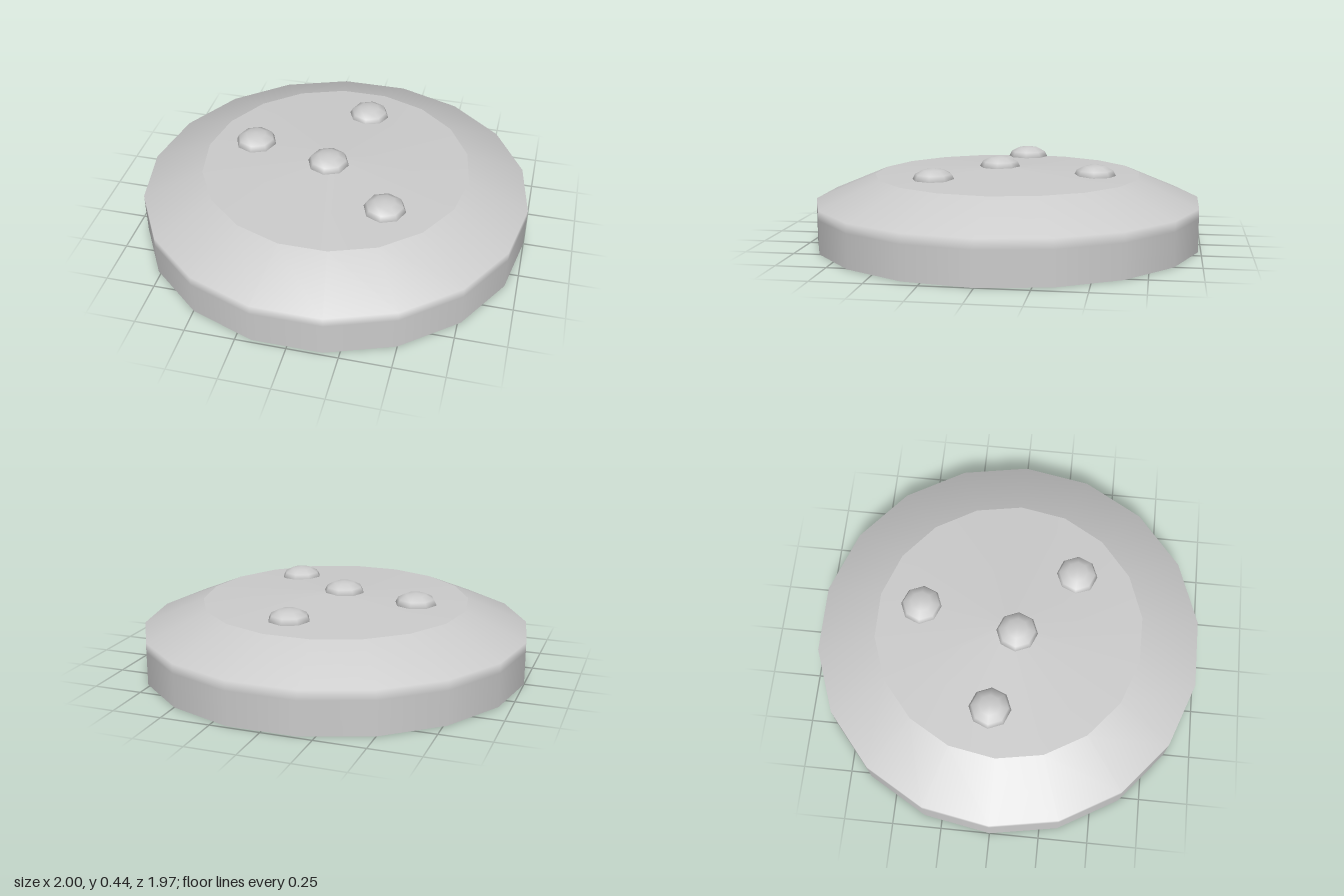
import * as THREE from 'three';

const SIDES = 18;
const material = new THREE.MeshStandardMaterial({ color: 0xcccccc });
const thinMaterial = new THREE.MeshStandardMaterial({ color: 0xcccccc, side: THREE.DoubleSide });

export function createModel() {
  const model = new THREE.Group();
  model.name = 'studdedDisc';

  const add = (name, geometry, mat = material) => {
    const mesh = new THREE.Mesh(geometry, mat);
    mesh.name = name;
    model.add(mesh);
    return mesh;
  };

  // Upright rim that rolls softly into the sloped shoulder
  const profile = [[1, 0], [1, 0.17], [1, 0.22], [0.69, 0.35]].map(([r, y]) => new THREE.Vector2(r, y));
  add('rimAndShoulder', new THREE.LatheGeometry(profile, SIDES, Math.PI / 2));

  // Almost flat, slightly peaked top
  const top = new THREE.ConeGeometry(0.69, 0.035, SIDES, 1, true, Math.PI / 2);
  add('top', top).position.y = 0.35 + 0.0175;

  // Flat underside
  add('underside', new THREE.CircleGeometry(1, SIDES).rotateX(Math.PI / 2));

  // Low domed studs on the top: x, base height, z
  const dome = new THREE.SphereGeometry(0.107, 8, 3, 0, Math.PI * 2, 0, Math.PI / 2).scale(1, 0.52, 1);
  const studs = [
    [-0.03, 0.38, 0.045],
    [-0.445, 0.38, -0.05],
    [0.075, 0.36, -0.46],
    [0.32, 0.36, 0.325],
  ];
  studs.forEach(([x, y, z], i) => add(`stud${i + 1}`, dome, thinMaterial).position.set(x, y, z));

  return model;
}
